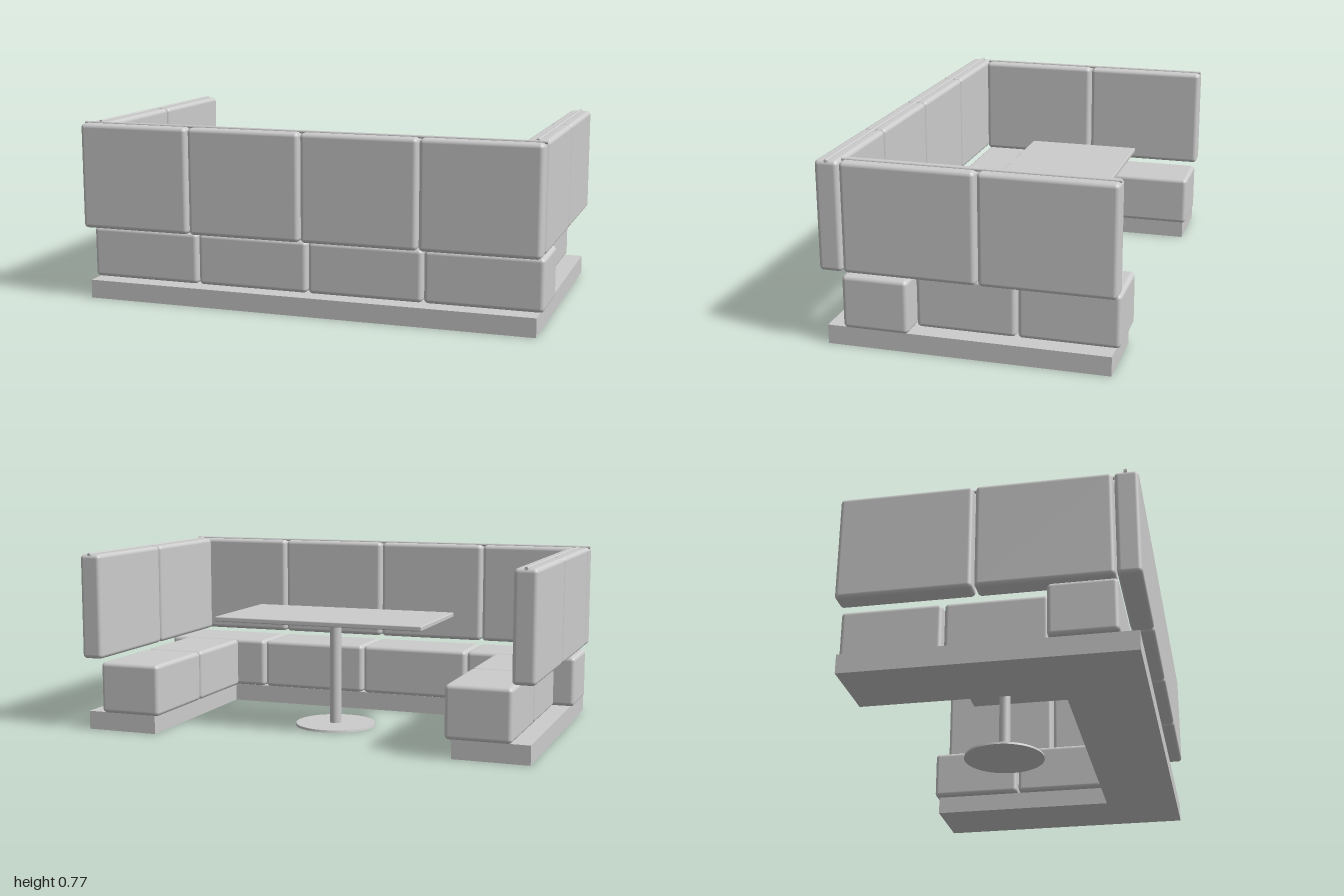
import * as THREE from 'three';
import { RoundedBoxGeometry } from 'three/addons/geometries/RoundedBoxGeometry.js';

export function createModel() {
  const group = new THREE.Group();
  const grey = new THREE.MeshStandardMaterial({ color: 0xcccccc });
  grey.name = 'light grey';

  function add(name, geometry, x = 0, y = 0, z = 0) {
    const mesh = new THREE.Mesh(geometry, grey);
    mesh.name = name;
    mesh.position.set(x, y, z);
    group.add(mesh);
    return mesh;
  }

  // Padded block given by its limits on each axis
  function cushion(name, [x0, x1], [y0, y1], [z0, z1]) {
    add(name, new RoundedBoxGeometry(x1 - x0, y1 - y0, z1 - z0, 4, 0.018),
      (x0 + x1) / 2, (y0 + y1) / 2, (z0 + z1) / 2);
  }

  // Thin round rail lying along x or z
  function rail(name, length, x, z, alongX) {
    const mesh = add(name, new THREE.CylinderGeometry(0.007, 0.007, length, 16), x, 0.768, z);
    if (alongX) mesh.rotation.z = Math.PI / 2;
    else mesh.rotation.x = Math.PI / 2;
  }

  // U-shaped plinth, drawn in plan and extruded upwards
  const plan = [[-0.98, -0.58], [0.98, -0.58], [0.98, 0.58], [0.66, 0.58],
    [0.66, -0.25], [-0.66, -0.25], [-0.66, 0.58], [-0.98, 0.58]];
  const plinth = new THREE.ExtrudeGeometry(
    new THREE.Shape(plan.map(([x, y]) => new THREE.Vector2(x, y))),
    { depth: 0.08, bevelEnabled: false });
  plinth.rotateX(-Math.PI / 2);
  add('plinth', plinth);

  const seatY = [0.08, 0.302];
  const backY = [0.315, 0.768];

  // Long run: four seats and four backrests
  for (let i = 0; i < 4; i++) {
    const x = [-0.998 + i * 0.5, -0.505 + i * 0.5];
    cushion('longSeat', x, seatY, [0.235, 0.508]);
    cushion('longBackrest', x, backY, [0.503, 0.6]);
  }
  rail('longRail', 2, 0, 0.548, true);

  // Two side runs, mirrored
  for (const side of [-1, 1]) {
    const span = (a, b) => (side > 0 ? [a, b] : [-b, -a]);
    for (const z of [[-0.18, 0.23], [-0.597, -0.188]]) {
      cushion('sideSeat', span(0.633, 0.908), seatY, z);
    }
    for (const z of [[-0.046, 0.498], [-0.6, -0.055]]) {
      cushion('sideBackrest', span(0.902, 0.998), backY, z);
    }
    rail('sideRail', 1.1, side * 0.952, -0.05, false);
  }

  // Table on a round pedestal
  add('tableTop', new RoundedBoxGeometry(0.94, 0.022, 0.5, 2, 0.005), 0, 0.483, -0.121);
  add('tablePost', new THREE.CylinderGeometry(0.025, 0.025, 0.47, 32), 0, 0.24, -0.121);
  add('tableFoot', new THREE.CylinderGeometry(0.176, 0.178, 0.01, 48), 0, 0.005, -0.121);

  return group;
}
